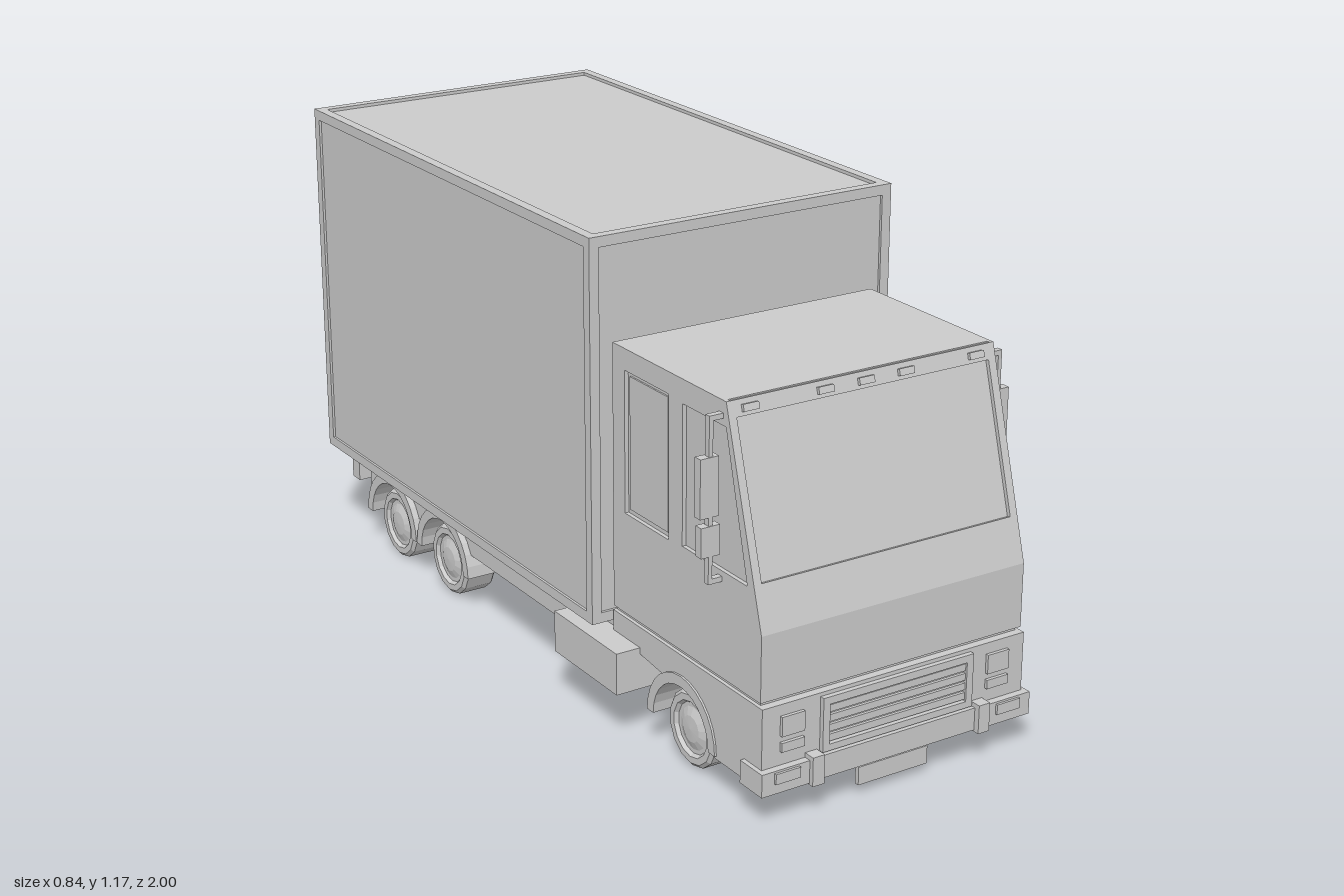
import * as THREE from 'three';

const grey = new THREE.MeshStandardMaterial({ color: 0xcccccc, flatShading: true });

export function createModel() {
  const truck = new THREE.Group();
  truck.name = 'boxTruck';

  const add = (name, geometry, parent = truck) => {
    const mesh = new THREE.Mesh(geometry, grey);
    mesh.name = name;
    parent.add(mesh);
    return mesh;
  };
  // Box given by its limits on each axis
  const block = (name, x0, x1, y0, y1, z0, z1, parent) => {
    const g = new THREE.BoxGeometry(x1 - x0, y1 - y0, z1 - z0);
    g.translate((x0 + x1) / 2, (y0 + y1) / 2, (z0 + z1) / 2);
    return add(name, g, parent);
  };
  // The same box on both sides, x measured outward
  const pair = (name, x0, x1, y0, y1, z0, z1, parent) => {
    block(name + 'Left', x0, x1, y0, y1, z0, z1, parent);
    block(name + 'Right', -x1, -x0, y0, y1, z0, z1, parent);
  };
  const poly = (pts) => new THREE.Shape(pts.map(([a, b]) => new THREE.Vector2(a, b)));
  // Side profile in (z, y), extruded from x0 to x1
  const profile = (name, shape, x0, x1, curveSegments = 8) => {
    const g = new THREE.ExtrudeGeometry(shape, { depth: x1 - x0, bevelEnabled: false, curveSegments });
    g.rotateY(-Math.PI / 2).translate(x1, 0, 0);
    return add(name, g);
  };

  const axleY = 0.0925, wheelR = 0.0925, frontZ = 0.66, rearZ = [-0.46, -0.74];

  // Cargo box: inner panels, edge frame, rear doors
  block('cargoBody', -0.404, 0.404, 0.256, 1.164, -0.992, 0.358);
  const f = 0.025;
  for (const [y0, y1] of [[0.25, 0.25 + f], [1.172 - f, 1.172]]) {
    pair('cargoSideRail', 0.41 - f, 0.41, y0, y1, -1, 0.365);
    for (const [z0, z1] of [[-1, -1 + f], [0.365 - f, 0.365]])
      block('cargoCrossRail', -0.41 + f, 0.41 - f, y0, y1, z0, z1);
  }
  for (const [z0, z1] of [[-1, -1 + f], [0.365 - f, 0.365]])
    pair('cargoPost', 0.41 - f, 0.41, 0.25 + f, 1.172 - f, z0, z1);
  pair('rearDoor', 0.003, 0.383, 0.277, 1.145, -0.998, -0.98);
  for (const y of [0.38, 1.02]) pair('doorHinge', 0.345, 0.39, y, y + 0.012, -1, -0.99);

  // Chassis with arches cut out for the rear wheels
  const frame = new THREE.Shape();
  const cut = Math.sqrt(0.13 ** 2 - (0.15 - axleY) ** 2);
  const a = Math.asin((0.15 - axleY) / 0.13);
  frame.moveTo(0.45, 0.15);
  frame.lineTo(0.45, 0.255);
  frame.lineTo(-0.89, 0.255);
  frame.lineTo(-0.89, 0.15);
  for (const z of [...rearZ].reverse()) {
    frame.lineTo(z - cut, 0.15);
    frame.absarc(z, axleY, 0.13, Math.PI - a, a, true);
  }
  profile('chassis', frame, -0.345, 0.345);
  block('underfloorTank', -0.42, 0.42, 0.125, 0.228, 0.21, 0.485);

  // Mudguards, axles and wheels
  const tyre = [[0, -0.045], [0.084, -0.045], [wheelR, -0.037], [wheelR, 0.037], [0.084, 0.045],
    [0.068, 0.045], [0.062, 0.036], [0.052, 0.036], [0.032, 0.044], [0, 0.046]]
    .map(([r, h]) => new THREE.Vector2(r, h));
  for (const z of [frontZ, ...rearZ]) {
    const front = z === frontZ;
    const guard = new THREE.Shape();
    guard.absarc(z, axleY, 0.138, 0, Math.PI, false);
    guard.absarc(z, axleY, 0.112, Math.PI, 0, true);
    profile('mudguard', guard, -0.362, 0.362, 7);
    const axle = new THREE.CylinderGeometry(0.05, 0.05, 0.54, 12);
    add('axle', axle.rotateZ(Math.PI / 2).translate(0, axleY, z));
    for (const s of [1, -1]) {
      const wheel = add(s > 0 ? 'wheelLeft' : 'wheelRight', new THREE.LatheGeometry(tyre, 14, Math.PI / 2));
      wheel.rotation.z = -s * Math.PI / 2;
      wheel.position.set(s * (front ? 0.29 : 0.298), axleY, z);
    }
  }

  // Lower cab with front wheel arch
  const lower = new THREE.Shape();
  lower.moveTo(0.97, 0.279);
  lower.lineTo(0.37, 0.279);
  lower.lineTo(0.37, 0.225);
  const b = Math.asin((0.2 - axleY) / 0.125);
  lower.lineTo(frontZ - 0.125 * Math.cos(b), 0.2);
  lower.absarc(frontZ, axleY, 0.125, Math.PI - b, 0, true);
  lower.lineTo(0.785, 0.085);
  lower.lineTo(0.97, 0.085);
  profile('lowerCab', lower, -0.357, 0.357);
  block('cabSeam', -0.348, 0.348, 0.27, 0.295, 0.375, 0.95);

  // Upper cab: core, side skins with window openings, sloping windscreen surround
  profile('cabCore', poly([[0.37, 0.289], [0.96, 0.289], [0.96, 0.445], [0.95, 0.442], [0.81, 0.922],
    [0.81, 0.926], [0.37, 0.926]]), -0.345, 0.345);
  const skin = poly([[0.37, 0.289], [0.96, 0.289], [0.96, 0.445], [0.82, 0.926], [0.37, 0.926]]);
  skin.holes.push(poly([[0.655, 0.54], [0.655, 0.87], [0.82, 0.87], [0.905, 0.54]]));
  skin.holes.push(poly([[0.42, 0.535], [0.42, 0.875], [0.6, 0.875], [0.6, 0.535]]));
  profile('cabSideLeft', skin, 0.345, 0.355);
  profile('cabSideRight', skin, -0.355, -0.345);
  pair('sideWindowPane', 0.343, 0.349, 0.547, 0.863, 0.432, 0.588);

  const slope = new THREE.Group();
  slope.name = 'windscreenSurround';
  slope.position.set(0, 0.445, 0.96);
  slope.rotation.x = -Math.atan2(0.14, 0.481);
  truck.add(slope);
  const surround = poly([[-0.345, 0], [0.345, 0], [0.345, 0.501], [-0.345, 0.501]]);
  surround.holes.push(poly([[-0.335, 0.11], [-0.335, 0.464], [0.335, 0.464], [0.335, 0.11]]));
  add('windscreenFrame', new THREE.ExtrudeGeometry(surround, { depth: 0.01, bevelEnabled: false })
    .translate(0, 0, -0.01), slope);
  for (const x of [-0.3, -0.107, 0, 0.107, 0.3])
    block('markerLight', x - 0.02, x + 0.02, 0.473, 0.489, -0.004, 0.008, slope);

  // Grille
  block('grilleTop', -0.205, 0.205, 0.252, 0.27, 0.96, 0.982);
  block('grilleBottom', -0.205, 0.205, 0.14, 0.156, 0.96, 0.982);
  pair('grilleSide', 0.187, 0.205, 0.156, 0.252, 0.96, 0.982);
  for (let i = 0; i < 4; i++) {
    const y = 0.16 + i * 0.0235;
    block('grilleSlat', -0.187, 0.187, y, y + 0.017, 0.96, 0.977);
  }

  // Headlights, bumper and front plate
  pair('headlight', 0.25, 0.31, 0.205, 0.252, 0.96, 0.978);
  pair('indicator', 0.25, 0.31, 0.168, 0.19, 0.96, 0.978);
  block('bumper', -0.24, 0.24, 0.08, 0.135, 0.95, 0.985);
  pair('bumperCorner', 0.24, 0.368, 0.08, 0.135, 0.905, 0.988);
  pair('bumperUpright', 0.212, 0.243, 0.076, 0.146, 0.95, 1);
  pair('fogLight', 0.27, 0.335, 0.105, 0.13, 0.98, 0.994);
  block('frontPlate', -0.095, 0.095, 0.022, 0.066, 0.955, 0.967);
  block('frontPlateBracket', -0.04, 0.04, 0.06, 0.09, 0.952, 0.962);

  // Mirrors on a side pole
  pair('mirrorPole', 0.38, 0.39, 0.515, 0.898, 0.795, 0.81);
  for (const y of [0.515, 0.886]) pair('mirrorArm', 0.35, 0.38, y, y + 0.012, 0.795, 0.81);
  pair('mirrorLarge', 0.366, 0.413, 0.67, 0.806, 0.79, 0.812);
  pair('mirrorSmall', 0.362, 0.41, 0.58, 0.65, 0.79, 0.812);

  // Rear bar, tail lights and plate
  block('rearBar', -0.36, 0.36, 0.175, 0.225, -0.945, -0.92);
  pair('rearBarBracket', 0.2, 0.24, 0.18, 0.255, -0.925, -0.88);
  pair('tailLightOuter', 0.305, 0.365, 0.16, 0.243, -0.957, -0.918);
  pair('tailLightInner', 0.23, 0.295, 0.175, 0.23, -0.972, -0.94);
  block('rearPlate', -0.1, 0.1, 0.115, 0.178, -0.948, -0.938);

  return truck;
}
